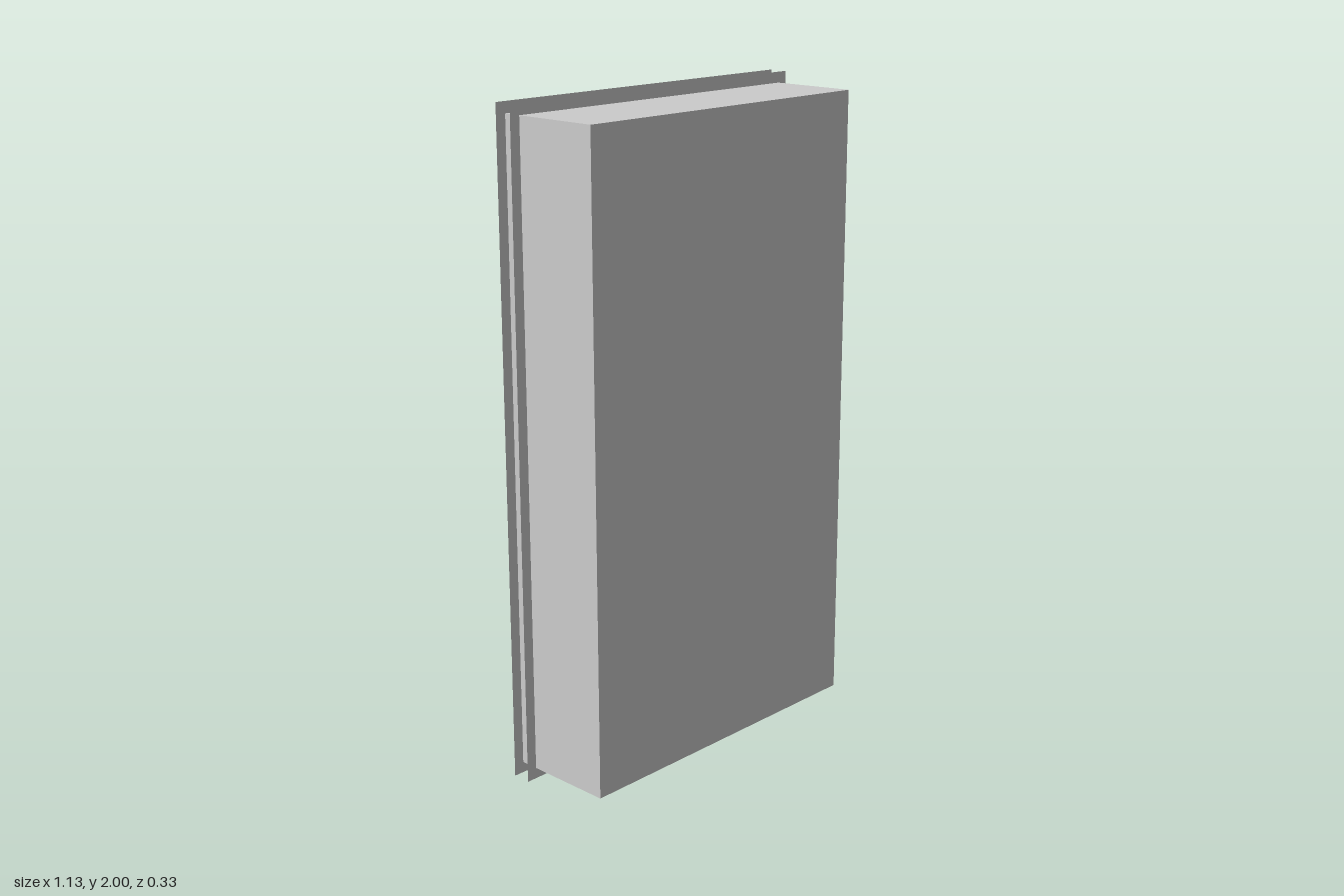
import * as THREE from 'three';

const W = 1.13, H = 2, D = 0.332;      // overall size
const U = W / 17;                      // bar width = hole width
const LONG = (H - 15 * U) / 2;         // height of the long slots
const BOX_W = W - U, BOX_H = H - U;    // casing sits half a bar inside the grilles

const material = new THREE.MeshStandardMaterial({ color: 0xcccccc, side: THREE.DoubleSide });

function rectangle(path, x, y, w, h) {
  path.moveTo(x, y);
  path.lineTo(x + w, y);
  path.lineTo(x + w, y + h);
  path.lineTo(x, y + h);
  path.closePath();
  return path;
}

// Thin sheet pierced by eight columns of square holes and long slots
function grilleGeometry() {
  const shape = rectangle(new THREE.Shape(), -W / 2, 0, W, H);
  let y = U;
  for (const h of [U, U, LONG, U, U, LONG, U, U]) {
    for (let i = 0; i < 8; i++) {
      shape.holes.push(rectangle(new THREE.Path(), -W / 2 + U * (1 + 2 * i), y, U, h));
    }
    y += h + U;
  }
  return new THREE.ShapeGeometry(shape).rotateY(Math.PI);
}

export function createModel() {
  const group = new THREE.Group();

  function add(name, geometry, x, y, z, parent = group) {
    const mesh = new THREE.Mesh(geometry, material);
    mesh.name = name;
    mesh.position.set(x, y, z);
    parent.add(mesh);
  }

  // Hollow casing, open at the back
  const casing = new THREE.Group();
  casing.name = 'casing';
  group.add(casing);
  add('frontPanel', new THREE.PlaneGeometry(BOX_W, BOX_H), 0, H / 2, D / 2, casing);
  for (const s of [1, -1]) {
    add(s > 0 ? 'leftWall' : 'rightWall',
      new THREE.PlaneGeometry(D, BOX_H).rotateY(s * Math.PI / 2), s * BOX_W / 2, H / 2, 0, casing);
    add(s > 0 ? 'topWall' : 'bottomWall',
      new THREE.PlaneGeometry(BOX_W, D).rotateX(-s * Math.PI / 2), 0, H / 2 + s * BOX_H / 2, 0, casing);
  }

  // Two matching grilles, one closing the back and one just inside it
  const grille = grilleGeometry();
  add('backGrille', grille, 0, 0, -D / 2);
  add('innerGrille', grille, 0, 0, -D / 2 + 0.057);

  return group;
}
